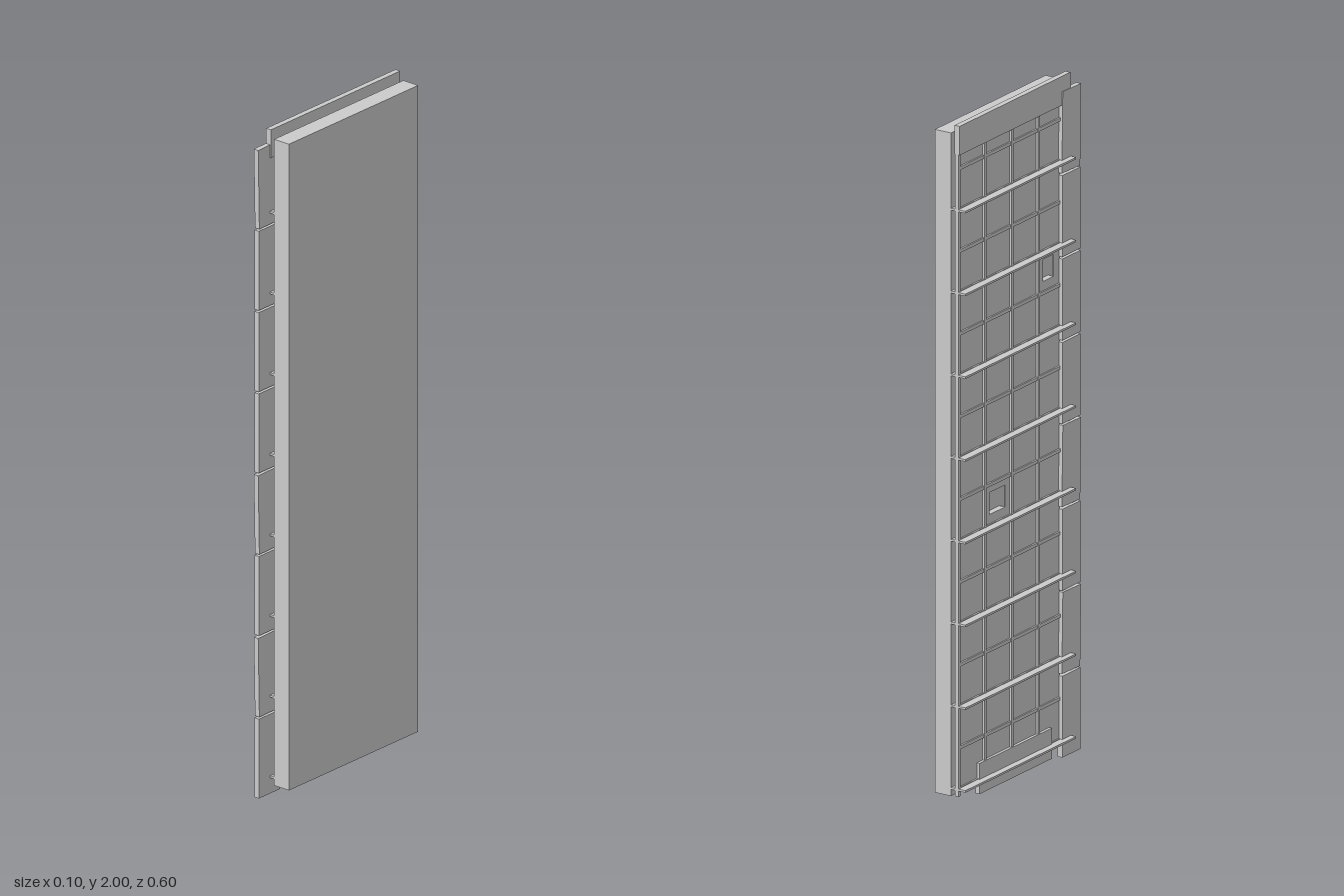
import * as THREE from 'three';

export function createModel() {
  const root = new THREE.Group();
  const mat = new THREE.MeshStandardMaterial({ color: 0xcccccc });

  // Box given by its limits on each axis
  function box(name, x0, x1, y0, y1, z0, z1) {
    const mesh = new THREE.Mesh(new THREE.BoxGeometry(x1 - x0, y1 - y0, z1 - z0), mat);
    mesh.position.set((x0 + x1) / 2, (y0 + y1) / 2, (z0 + z1) / 2);
    mesh.name = name;
    root.add(mesh);
    return mesh;
  }

  const floors = 8, pitch = 0.243, base = 0.05;
  const columns = [-0.3, -0.166, -0.032, 0.1, 0.21];
  const bar = 0.005;

  // Solid slab behind the facade
  box('backingSlab', -0.003, 0.051, 0.028, 1.975, -0.3, 0.25);

  // Projecting floor ledges, which tie the facade to the slab
  for (let i = 0; i < floors; i++) {
    const y = base + i * pitch;
    box('floorLedge', -0.051, -0.003, y - 0.003, y + 0.003, -0.3, 0.25);
  }

  // Window panes, two per floor in each column; two panes are open vents
  const rows = floors * 2;
  const vents = ['6,1', '11,3'];
  for (let r = 0; r < rows; r++) {
    const y0 = base + r * pitch / 2;
    const y1 = Math.min(y0 + pitch / 2, 1.93);
    for (let c = 0; c < 4; c++) {
      const z0 = columns[c], z1 = columns[c + 1];
      if (vents.includes(r + ',' + c)) {
        // Vent: surround with a small opening and a sill reaching inwards
        const a = y0 + 0.03, b = y1 - 0.025, m = 0.028;
        box('ventSurround', -0.022, -0.018, y0, a, z0, z1);
        box('ventSurround', -0.022, -0.018, b, y1, z0, z1);
        box('ventSurround', -0.022, -0.018, a, b, z0, z0 + m);
        box('ventSurround', -0.022, -0.018, a, b, z1 - m, z1);
        box('ventSill', -0.022, -0.003, a - 0.003, a + 0.002, z0 + m, z1 - m);
      } else {
        box('windowPane', -0.022, -0.018, y0, y1, z0, z1);
      }
    }
    // Transom under each row
    box('transom', -0.027, -0.017, y0 - bar, y0 + bar, -0.3, 0.21);
  }

  // Vertical mullions
  columns.slice(0, 4).forEach((z, i) => {
    const z0 = i === 0 ? z : z - bar;
    box('mullion', -0.028, -0.017, 0.03, 1.93, z0, z0 + 2 * bar);
  });

  // Cladding panels down the left edge, a few slightly out of line
  for (let i = 0; i < floors; i++) {
    const y = i * 0.245;
    const panel = box('edgePanel', -0.034, -0.018, y, y + 0.239, 0.207, 0.298);
    if (i === 1 || i === 3 || i === 7) panel.rotation.x = 0.02;
  }

  // Parapet and entrance panel
  box('parapet', -0.032, -0.015, 1.915, 2, -0.3, 0.25);
  box('basePanel', -0.031, -0.018, 0.01, 0.1, -0.2, 0.16);

  return root;
}
